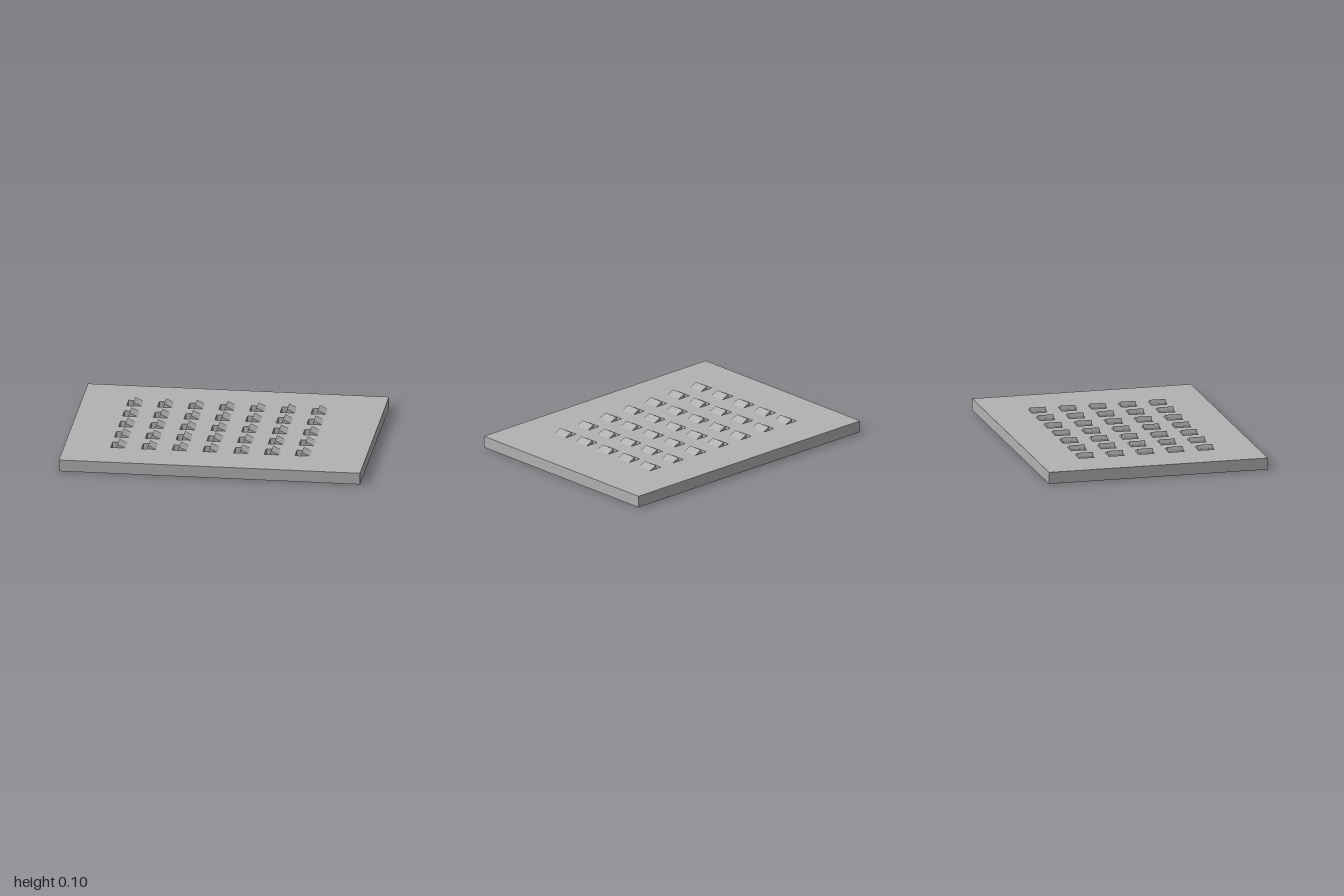
import * as THREE from 'three';

const T = 0.078;              // plate thickness
const HALF_Z = 0.745;         // half depth of the plate
const PITCH = 0.204;          // spacing of the slots both ways
const SLOT_W = 0.038, SLOT_L = 0.106;

export function createModel() {
  const group = new THREE.Group();
  const grey = new THREE.MeshStandardMaterial({ color: 0xb2b2b2 });
  grey.name = 'grey';

  const rect = (C, x0, z0, x1, z1) => {
    const p = new C();
    p.moveTo(x0, z0);
    p.lineTo(x1, z0);
    p.lineTo(x1, z1);
    p.lineTo(x0, z1);
    p.closePath();
    return p;
  };

  // Slot positions: x is the right edge of each slot, z its middle
  const slots = [];
  for (let i = 0; i < 7; i++)
    for (let j = 0; j < 5; j++)
      slots.push([-0.655 + i * PITCH, (j - 2) * PITCH]);

  // Plate with through slots
  const outline = rect(THREE.Shape, -1, -HALF_Z, 1, HALF_Z);
  for (const [x, z] of slots)
    outline.holes.push(rect(THREE.Path, x - SLOT_W, z - SLOT_L / 2, x, z + SLOT_L / 2));
  const plateGeo = new THREE.ExtrudeGeometry(outline, { depth: T, bevelEnabled: false });
  plateGeo.rotateX(-Math.PI / 2);
  const plate = new THREE.Mesh(plateGeo, grey);
  plate.name = 'slottedPlate';
  group.add(plate);

  // Sloping wedge tooth beside each slot, its root sunk into the plate
  const profile = new THREE.Shape([
    [0.001, T - 0.01], [0.055, T - 0.01], [0.06, T], [0.008, 0.103], [0.0005, T],
  ].map(([x, y]) => new THREE.Vector2(x, y)));
  const toothGeo = new THREE.ExtrudeGeometry(profile, { depth: SLOT_L, bevelEnabled: false });
  toothGeo.translate(0, 0, -SLOT_L / 2);
  const teeth = new THREE.Group();
  teeth.name = 'teeth';
  for (const [x, z] of slots) {
    const tooth = new THREE.Mesh(toothGeo, grey);
    tooth.name = 'tooth';
    tooth.position.set(x, 0, z);
    teeth.add(tooth);
  }
  group.add(teeth);
  return group;
}
